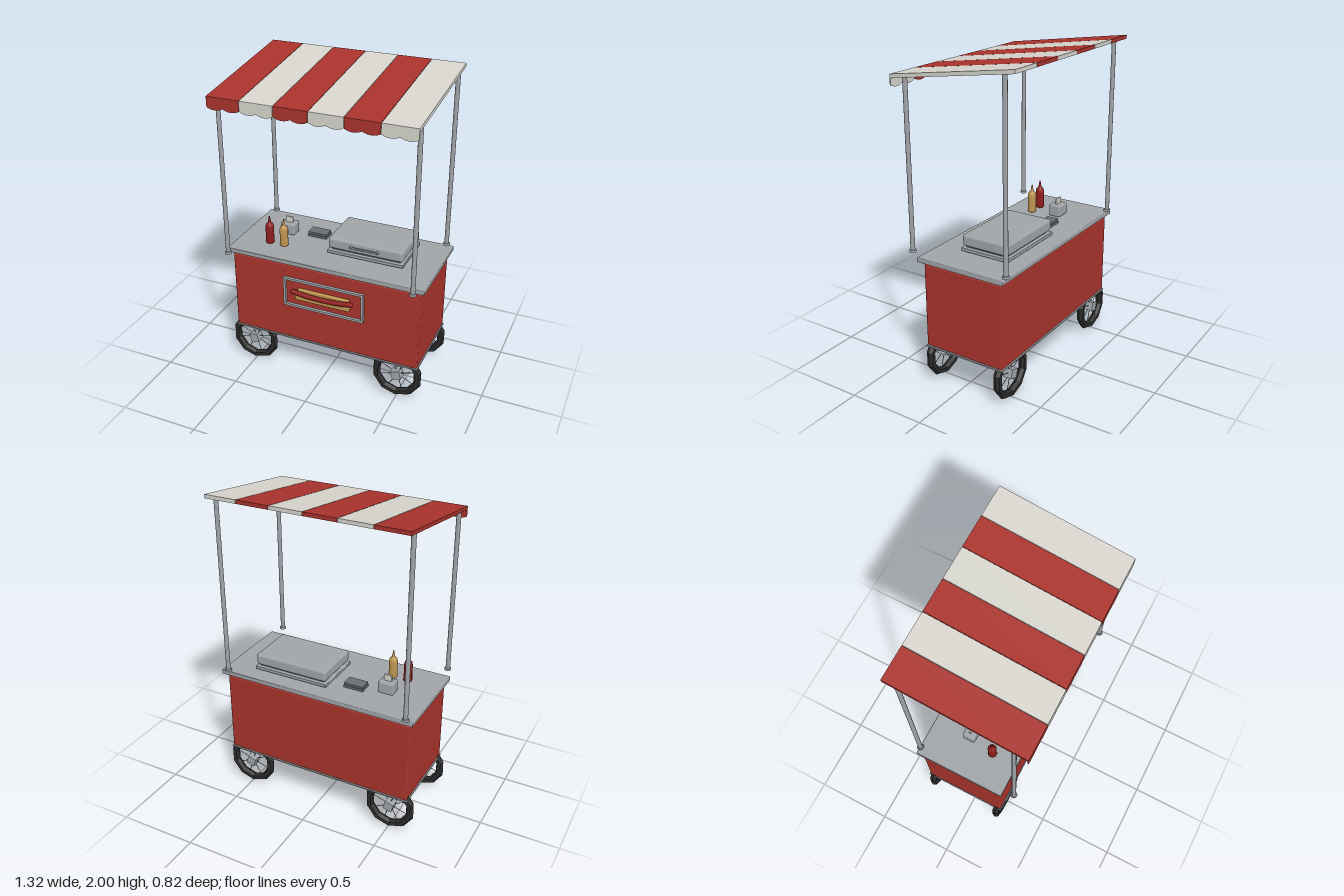
import * as THREE from 'three';
import { RoundedBoxGeometry } from 'three/addons/geometries/RoundedBoxGeometry.js';

export function createModel() {
  const cart = new THREE.Group();
  cart.name = 'foodCart';

  const mat = (name, color, extra = {}) => {
    const m = new THREE.MeshStandardMaterial({ color, ...extra });
    m.name = name;
    return m;
  };
  const red = mat('red paint', 0xa9332c);
  const white = mat('off-white canvas', 0xd6d4cc);
  const steel = mat('steel', 0xa0a4a8);
  const darkSteel = mat('dark steel', 0x6b6f73);
  const rubber = mat('black rubber', 0x2b2b2b, { flatShading: true });
  const sauceRed = mat('sauce red', 0x8f1f1d);
  const mustard = mat('mustard and bun', 0xbf9650);

  const add = (name, geometry, material, x = 0, y = 0, z = 0, parent = cart) => {
    const mesh = new THREE.Mesh(geometry, material);
    mesh.name = name;
    mesh.position.set(x, y, z);
    parent.add(mesh);
    return mesh;
  };
  // Box given by its limits
  const block = (name, material, x0, x1, y0, y1, z0, z1, round = 0, parent = cart) => {
    const s = [x1 - x0, y1 - y0, z1 - z0];
    const g = round ? new RoundedBoxGeometry(...s, 2, round) : new THREE.BoxGeometry(...s);
    return add(name, g, material, (x0 + x1) / 2, (y0 + y1) / 2, (z0 + z1) / 2, parent);
  };

  // Body, counter and undercarriage
  block('body', red, -0.62, 0.63, 0.25, 0.787, -0.315, 0.225, 0.008);
  block('counter', steel, -0.645, 0.66, 0.805, 0.835, -0.34, 0.253, 0.005);
  block('counterSupport', steel, -0.55, 0.56, 0.78, 0.806, -0.25, 0.16);
  block('floorPlate', steel, -0.625, 0.635, 0.242, 0.25, -0.32, 0.23);
  block('underTray', steel, -0.58, 0.6, 0.215, 0.243, -0.25, 0.163, 0.005);

  // Wheels: faceted tyre, tilted block hub, thin spokes
  const tyre = new THREE.TorusGeometry(0.14, 0.025, 6, 10);
  const hub = new THREE.BoxGeometry(0.058, 0.058, 0.06);
  const spoke = new THREE.CylinderGeometry(0.0025, 0.0025, 0.12, 4).translate(0, 0.06, 0);
  for (const x of [-0.502, 0.497]) {
    for (const z of [0.2, -0.287]) {
      const wheel = new THREE.Group();
      wheel.name = 'wheel';
      wheel.position.set(x, 0.163, z);
      wheel.rotation.z = 0.3;
      add('tyre', tyre, rubber, 0, 0, 0, wheel);
      add('hub', hub, steel, 0, 0, 0, wheel);
      for (let i = 0; i < 8; i++) {
        add('spoke', spoke, darkSteel, 0, 0, 0, wheel).rotation.z = (i * Math.PI) / 4;
      }
      cart.add(wheel);
    }
  }

  // Awning: six sloping stripes, each with a scalloped front flap
  const slope = 0.14;
  const roofY = (z) => 1.931 - slope * z;
  const stripeW = 1.255 / 6;
  for (let i = 0; i < 6; i++) {
    const x = -0.62 + stripeW * (i + 0.5);
    const colour = i % 2 ? white : red;
    const slab = new THREE.BoxGeometry(stripeW - 0.003, 0.023, 0.82);
    const p = slab.attributes.position;
    for (let k = 0; k < p.count; k++) p.setY(k, p.getY(k) - slope * p.getZ(k));
    slab.computeVertexNormals();
    add('awningStripe', slab, colour, x, 1.931, 0);

    const h = stripeW / 2 - 0.0015;
    const flap = new THREE.Shape();
    flap.moveTo(-h, 1.885);
    flap.lineTo(-h, 1.822);
    flap.quadraticCurveTo(-h / 2, 1.795, 0, 1.822);
    flap.quadraticCurveTo(h / 2, 1.795, h, 1.822);
    flap.lineTo(h, 1.885);
    const flapGeo = new THREE.ExtrudeGeometry(flap, { depth: 0.006, bevelEnabled: false, curveSegments: 6 });
    add('awningFlap', flapGeo, colour, x, 0, 0.404);
  }

  // Awning poles with small feet
  for (const x of [-0.6, 0.612]) {
    for (const z of [0.32, -0.335]) {
      const h = roofY(z) - 0.008 - 0.838;
      add('pole', new THREE.CylinderGeometry(0.014, 0.014, h, 10), steel, x, 0.838 + h / 2, z);
      add('poleFoot', new THREE.CylinderGeometry(0.02, 0.022, 0.014, 10), steel, x, 0.845, z);
    }
  }

  // Framed sign on the front
  const border = new THREE.Shape();
  border.moveTo(-0.263, 0.5).lineTo(0.277, 0.5).lineTo(0.277, 0.703).lineTo(-0.263, 0.703);
  const hole = new THREE.Path();
  hole.moveTo(-0.248, 0.515).lineTo(-0.248, 0.688).lineTo(0.262, 0.688).lineTo(0.262, 0.515);
  border.holes.push(hole);
  add('signFrame', new THREE.ExtrudeGeometry(border, { depth: 0.02, bevelEnabled: false }), steel, 0, 0, 0.223);

  // Sausage in a bun
  block('bunBack', mustard, -0.165, 0.18, 0.585, 0.642, 0.223, 0.245, 0.009);
  block('bunFront', mustard, -0.177, 0.19, 0.567, 0.605, 0.223, 0.262, 0.012);
  const bend = new THREE.CatmullRomCurve3([
    new THREE.Vector3(-0.19, 0.625, 0.258),
    new THREE.Vector3(-0.1, 0.616, 0.261),
    new THREE.Vector3(0.005, 0.613, 0.262),
    new THREE.Vector3(0.11, 0.616, 0.261),
    new THREE.Vector3(0.2, 0.625, 0.258),
  ]);
  add('sausage', new THREE.TubeGeometry(bend, 14, 0.016, 8), sauceRed);
  for (const end of [bend.getPoint(0), bend.getPoint(1)]) {
    add('sausageEnd', new THREE.SphereGeometry(0.016, 8, 6), sauceRed, end.x, end.y, end.z);
  }

  // Grill with a rounded lid and bar handle
  block('grillBase', steel, -0.035, 0.465, 0.847, 0.868, -0.25, 0.08, 0.004);
  block('grillFoot', darkSteel, -0.01, 0.44, 0.834, 0.848, -0.225, 0.055);
  block('grillSeam', darkSteel, -0.01, 0.44, 0.867, 0.878, -0.225, 0.055);
  block('grillLid', steel, -0.03, 0.46, 0.877, 0.952, -0.245, 0.073, 0.018);
  block('lidHandle', steel, 0.12, 0.31, 0.914, 0.926, 0.084, 0.094, 0.003);
  for (const x of [0.13, 0.3]) block('handleMount', steel, x - 0.006, x + 0.006, 0.915, 0.925, 0.07, 0.087);

  // Sauce bottles
  const bottle = new THREE.LatheGeometry(
    [[0, 0], [0.025, 0], [0.028, 0.01], [0.026, 0.06], [0.028, 0.11], [0.023, 0.132], [0.01, 0.14],
      [0.009, 0.15], [0.003, 0.185], [0, 0.187]].map(([r, y]) => new THREE.Vector2(r, y)), 12);
  add('ketchupBottle', bottle, sauceRed, -0.43, 0.835, 0.082);
  add('mustardBottle', bottle, mustard, -0.33, 0.835, 0.082);

  // Napkin holder and a small stacked tray
  block('napkinHolder', steel, -0.425, -0.325, 0.835, 0.912, -0.13, -0.05, 0.01);
  block('napkin', white, -0.4, -0.35, 0.905, 0.95, -0.096, -0.084);
  block('trayLower', darkSteel, -0.245, -0.115, 0.835, 0.849, -0.17, -0.09);
  block('trayUpper', darkSteel, -0.243, -0.117, 0.853, 0.866, -0.168, -0.092);
  block('trayCore', darkSteel, -0.23, -0.13, 0.848, 0.854, -0.16, -0.1);

  return cart;
}
